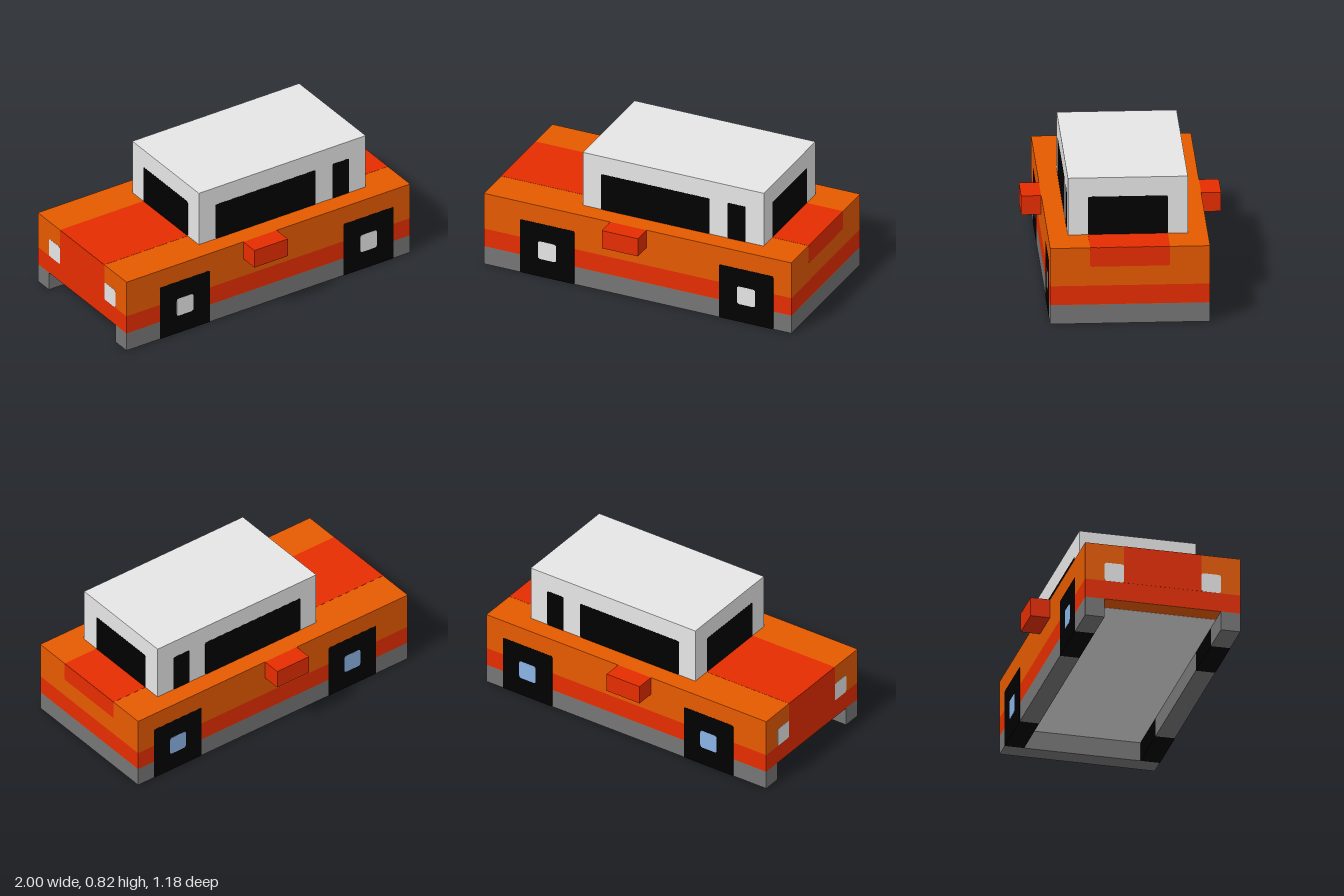
import * as THREE from 'three';

// Everything is laid out on a coarse grid; U is one grid step.
const U = 2 / 17;
const T = 0.008; // thickness of painted plates, in grid steps

function material(name, color) {
  const m = new THREE.MeshStandardMaterial({ color });
  m.name = name;
  return m;
}

export function createModel() {
  const orange = material('orange paint', 0xe65a00);
  const red = material('red paint', 0xe62d00);
  const grey = material('sill grey', 0x767676);
  const light = material('light grey', 0xe6e6e6);
  const black = material('black', 0x000000);
  const blue = material('pale blue', 0x8ab4e6);

  const model = new THREE.Group();
  model.name = 'blockCar';
  const car = new THREE.Group();
  car.name = 'car';
  car.scale.setScalar(U);
  model.add(car);

  // Box from minimum to maximum corner, in grid steps
  function box(name, mat, [x0, y0, z0], [x1, y1, z1]) {
    const mesh = new THREE.Mesh(new THREE.BoxGeometry(x1 - x0, y1 - y0, z1 - z0), mat);
    mesh.position.set((x0 + x1) / 2, (y0 + y1) / 2, (z0 + z1) / 2);
    mesh.name = name;
    car.add(mesh);
  }

  // Thin plate with softened corners, facing +z before it is turned by angle
  function plate(name, mat, w, h, r, position, angle) {
    const a = w / 2, b = h / 2;
    const s = new THREE.Shape();
    s.moveTo(-a + r, -b);
    s.lineTo(a - r, -b);
    s.quadraticCurveTo(a, -b, a, -b + r);
    s.lineTo(a, b - r);
    s.quadraticCurveTo(a, b, a - r, b);
    s.lineTo(-a + r, b);
    s.quadraticCurveTo(-a, b, -a, b - r);
    s.lineTo(-a, -b + r);
    s.quadraticCurveTo(-a, -b, -a + r, -b);
    const geo = new THREE.ExtrudeGeometry(s, { depth: T, bevelEnabled: false, curveSegments: 3 });
    const mesh = new THREE.Mesh(geo, mat);
    mesh.position.set(...position);
    mesh.rotation.y = angle;
    mesh.name = name;
    car.add(mesh);
  }

  // Body layers
  box('upperBody', orange, [-8.5, 2, -4], [8.5, 4, 4]);
  box('lowerBody', red, [-8.5, 1 + T, -4], [8.5, 2, 4]);
  box('bodyUnderside', orange, [-8.5, 1, -4], [8.5, 1 + T, 4]);
  box('floorPanel', light, [-7.5, 1 - T, -3], [7.5, 1, 3]);
  box('endSkirt', grey, [7.5, 0, -3], [8.5, 1, 3]);

  // Bonnet and boot stripes, end panels
  box('bonnetStripe', red, [-8.5, 4, -2], [-3.5, 4 + T, 2]);
  box('bootStripe', red, [6.5, 4, -2], [8.5, 4 + T, 2]);
  box('grillePanel', red, [-8.5 - T, 2, -2], [-8.5, 4, 2]);
  plate('bootPanel', red, 4, 1, 0.1, [8.5, 3.5, 0], Math.PI / 2);

  // Cabin with end windows
  box('cabin', light, [-3.5, 4, -3], [6.5, 7, 3]);
  plate('windscreen', black, 4, 2, 0.08, [-3.5, 5, 0], -Math.PI / 2);
  plate('rearWindow', black, 4, 2, 0.08, [6.5, 5, 0], Math.PI / 2);

  for (const side of [1, -1]) {
    const turn = side > 0 ? 0 : Math.PI;
    const span = (a, b) => [Math.min(side * a, side * b), Math.max(side * a, side * b)];
    const [railIn, railOut] = span(3, 4);
    const [mirrorIn, mirrorOut] = span(4, 5);

    // Sill, interrupted by the tyres
    for (const [x0, x1] of [[-8.5, -6.5], [-3.5, 4.5], [7.5, 8.5]])
      box('sill', grey, [x0, 0, railIn], [x1, 1, railOut]);

    // Wheels
    for (const x of [-5, 6]) {
      box('tyreBase', black, [x - 1.5, 0, railIn], [x + 1.5, 1, railOut]);
      plate('tyre', black, 3, 3, 0.08, [x, 1.5, side * 4], turn);
      plate('hub', side > 0 ? light : blue, 1, 1, 0.14, [x, 1.5, side * (4 + T)], turn);
    }

    // Side windows, mirror and headlight
    plate('sideWindow', black, 6, 2, 0.08, [0.5, 5, side * 3], turn);
    plate('quarterWindow', black, 1, 2, 0.08, [5, 5, side * 3], turn);
    box('sideMirror', red, [-1.5, 3, mirrorIn], [0.5, 4, mirrorOut]);
    plate('headlight', light, 1, 1, 0.12, [-8.5, 2.5, side * 2.5], -Math.PI / 2);
  }
  return model;
}
